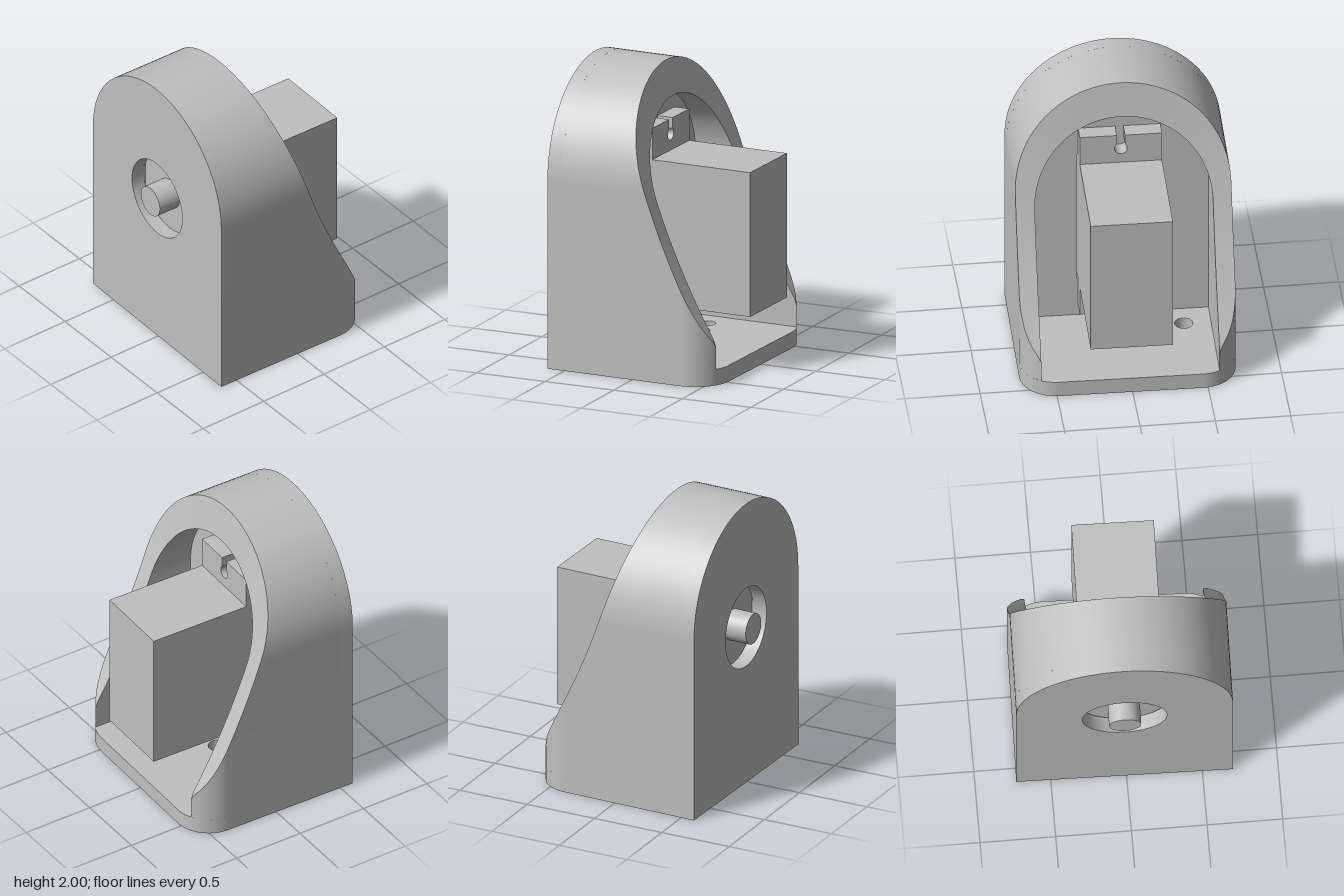
import * as THREE from 'three';
import { toCreasedNormals } from 'three/addons/utils/BufferGeometryUtils.js';

const BACK = -0.61, PLATE = -0.51, WALL = -0.17, FRONT = 0.6; // stations along x
const HALF = 0.715, INNER = 0.59, FLOOR = 0.11, FILLET = 0.24;
const AXLE_Y = 1.115;

// Sloping front edge of the housing: x for a given height
const P0 = [-0.09, 2], P1 = [0.096, 1.07], P2 = [0.57, 0.28];
function cutX(y) {
  if (y <= P2[1]) return P2[0] + 0.6 * (P2[1] - y);
  let lo = 0, hi = 1;
  const bez = (t, k) => (1 - t) * (1 - t) * P0[k] + 2 * t * (1 - t) * P1[k] + t * t * P2[k];
  for (let i = 0; i < 30; i++) {
    const m = (lo + hi) / 2;
    if (bez(m, 1) > y) lo = m; else hi = m;
  }
  return bez(lo, 0);
}

// Half width of the rounded plan outline at x
const planZ = (x) => {
  const d = Math.max(0, x - (FRONT - FILLET));
  return HALF - FILLET + Math.sqrt(Math.max(0, FILLET * FILLET - d * d));
};

function archShape(r, bottom, top) {
  const s = new THREE.Shape();
  s.moveTo(-r, bottom);
  s.lineTo(r, bottom);
  s.lineTo(r, top - r);
  s.absarc(0, top - r, r, 0, Math.PI, false);
  s.closePath();
  return s;
}

function circleHole(shape, x, y, r) {
  const p = new THREE.Path();
  p.absarc(x, y, r, 0, Math.PI * 2, true);
  shape.holes.push(p);
}

const extrude = (shape, depth) =>
  new THREE.ExtrudeGeometry(shape, { depth, bevelEnabled: false, curveSegments: 32 });

// Extrude a side-on outline along x
const extrudeX = (shape, x0, x1) =>
  toCreasedNormals(extrude(shape, x1 - x0).rotateY(Math.PI / 2).translate(x0, 0, 0), 0.5);

// Arched shell: outer skin, sloping rim and inner skin swept over the arch
function shellGeometry() {
  const half = [];
  const knee = 0.7, so = 2 - HALF, si = 1.765 - INNER;
  for (let i = 0; i <= 24; i++) {
    const yo = FLOOR + (so - FLOOR) * i / 24;
    const yi = yo < knee ? yo : knee + (yo - knee) * (si - knee) / (so - knee);
    half.push({ yo, yi, zo: HALF, zi: INNER });
  }
  for (let i = 1; i <= 24; i++) {
    const a = i / 24 * Math.PI / 2, c = Math.cos(a), s = Math.sin(a);
    half.push({ yo: so + HALF * s, yi: si + INNER * s, zo: HALF * c, zi: INNER * c });
  }
  const mirrored = half.slice(0, -1).reverse().map((p) => ({ ...p, zo: -p.zo, zi: -p.zi }));
  const rows = [...half, ...mirrored];
  const end = P2[0], steps = 10, cols = steps + 4, pos = [], idx = [];
  for (const p of rows) {
    const xo = Math.min(cutX(p.yo), end), xi = Math.min(cutX(p.yi), end);
    const mid = Math.min(xo, FRONT - FILLET);
    pos.push(PLATE, p.yo, p.zo);
    for (let k = 0; k <= steps; k++) {
      const x = mid + (xo - mid) * k / steps;
      const z = Math.sign(p.zo) * Math.min(Math.abs(p.zo), planZ(x));
      pos.push(x, p.yo, z);
    }
    pos.push(xi, p.yi, p.zi, WALL, p.yi, p.zi);
  }
  for (let r = 0; r < rows.length - 1; r++) {
    for (let c = 0; c < cols - 1; c++) {
      const a = r * cols + c, b = a + cols;
      idx.push(a, a + 1, b + 1, a, b + 1, b);
    }
  }
  const g = new THREE.BufferGeometry();
  g.setAttribute('position', new THREE.Float32BufferAttribute(pos, 3));
  g.setIndex(idx);
  return toCreasedNormals(g, 0.5);
}

// Base slab with rounded front corners, cable hole and two screw holes
function baseGeometry() {
  const s = new THREE.Shape(), c = FRONT - FILLET, w = HALF - FILLET;
  s.moveTo(PLATE, -HALF);
  s.lineTo(c, -HALF);
  s.absarc(c, -w, FILLET, -Math.PI / 2, 0, false);
  s.absarc(c, w, FILLET, 0, Math.PI / 2, false);
  s.lineTo(PLATE, HALF);
  s.closePath();
  circleHole(s, 0, 0.21, 0.11);
  for (const d of [-0.2, 0.2]) circleHole(s, 0, 0.21 + d, 0.06);
  return toCreasedNormals(extrude(s, FLOOR).rotateX(-Math.PI / 2), 0.5);
}

// Mounting ear with a keyhole slot; dir is +1 for the upper one, -1 for the lower
function earGeometry(yIn, yOut, yHole, dir) {
  const w = 0.272, n = 0.027, r = 0.042, a = Math.asin(n / r);
  const s = new THREE.Shape();
  s.moveTo(-w, yIn);
  s.lineTo(w, yIn);
  s.lineTo(w, yOut);
  s.lineTo(n, yOut);
  for (let i = 0; i <= 20; i++) {
    const t = a + (2 * Math.PI - 2 * a) * i / 20;
    s.lineTo(r * Math.sin(t), yHole + dir * r * Math.cos(t));
  }
  s.lineTo(-n, yOut);
  s.lineTo(-w, yOut);
  s.closePath();
  return extrudeX(s, WALL, -0.06);
}

export function createModel() {
  const model = new THREE.Group();
  const grey = new THREE.MeshStandardMaterial({ color: 0xbfbfbf });
  grey.name = 'plainGrey';
  const add = (name, geometry) => {
    const m = new THREE.Mesh(geometry, grey);
    m.name = name;
    model.add(m);
    return m;
  };

  // Housing
  add('housingShell', shellGeometry());
  add('housingBase', baseGeometry());
  const back = archShape(HALF, 0, 2);
  circleHole(back, 0, AXLE_Y, 0.28);
  add('backPlate', extrudeX(back, BACK, PLATE));

  // Thick inner wall with the motor pocket
  const wall = archShape(INNER, FLOOR, 1.765);
  const slot = new THREE.Path();
  slot.moveTo(-0.28, 0.392);
  slot.lineTo(-0.28, 1.393);
  slot.lineTo(0.28, 1.393);
  slot.lineTo(0.28, 0.392);
  slot.closePath();
  wall.holes.push(slot);
  add('innerWall', extrudeX(wall, PLATE, WALL));

  // Motor
  add('motorBody', new THREE.BoxGeometry(1.165, 0.985, 0.544)).position.set(0.0775, 0.8925, 0);
  add('upperEar', earGeometry(1.385, 1.6, 1.495, 1));
  add('lowerEar', earGeometry(0.4, 0.185, 0.292, -1));
  const shaft = add('outputShaft', new THREE.CylinderGeometry(0.106, 0.106, 0.165, 40));
  shaft.rotation.z = Math.PI / 2;
  shaft.position.set(-0.5825, AXLE_Y, 0);

  // Slight turn about the vertical
  model.rotation.y = -0.02;
  return model;
}
